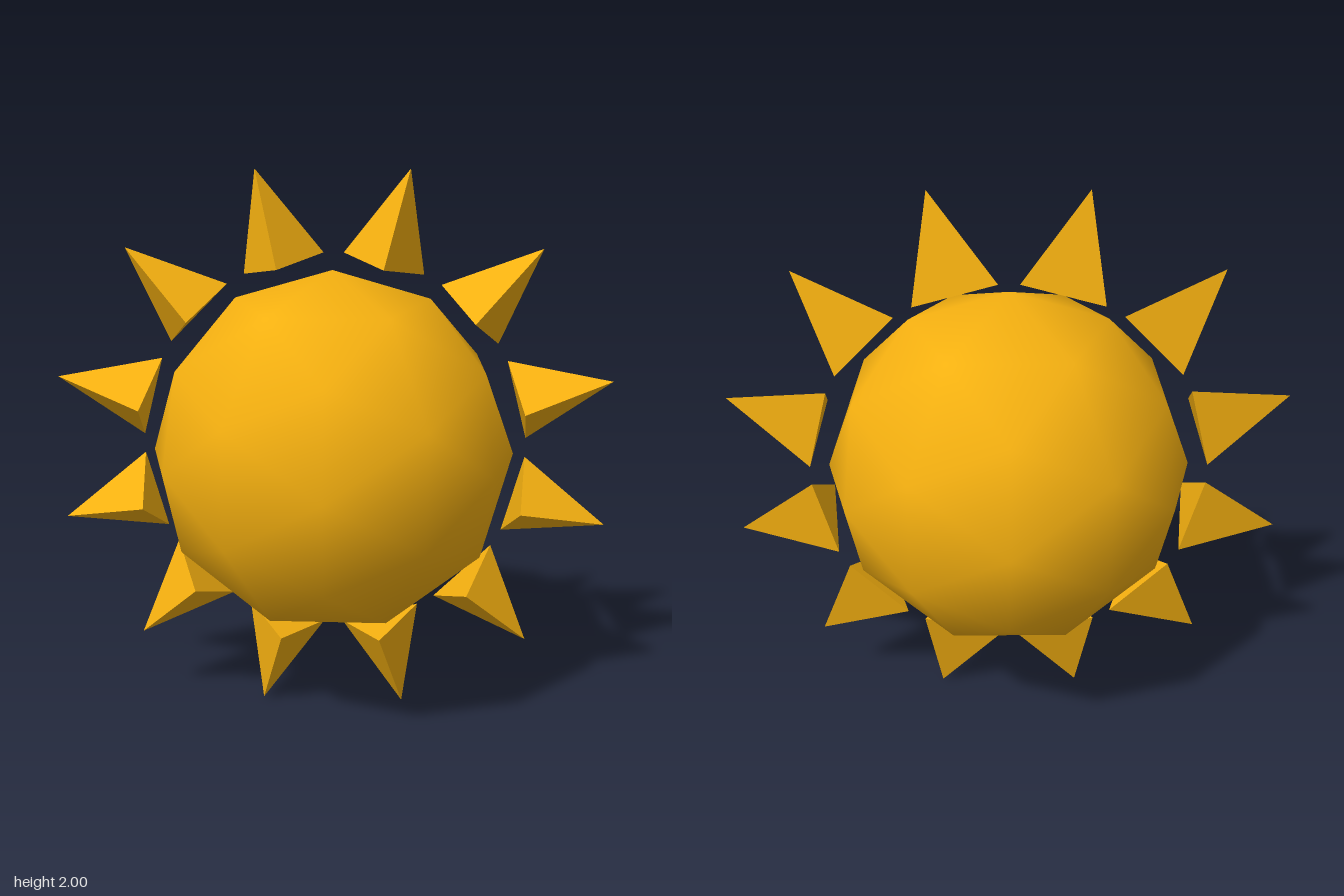
import * as THREE from 'three';

export function createModel() {
  const model = new THREE.Group();
  model.name = 'sun';
  const color = 0xf5b010;
  const centerY = 1;

  // Smooth-shaded low-poly ball
  const ball = new THREE.Mesh(
    new THREE.IcosahedronGeometry(0.656, 1),
    new THREE.MeshStandardMaterial({ color })
  );
  ball.name = 'ball';
  ball.position.y = centerY;
  model.add(ball);

  // Ring of three-sided pyramids pointing outward, one base corner facing front
  const rayCount = 12, baseRadius = 0.172, baseDistance = 0.695, tipDistance = 1.035;
  const height = tipDistance - baseDistance;
  const rayGeometry = new THREE.ConeGeometry(baseRadius, height, 3);
  rayGeometry.translate(0, baseDistance + height / 2, 0);
  const rayMaterial = new THREE.MeshStandardMaterial({ color, flatShading: true });

  const rays = new THREE.Group();
  rays.name = 'rays';
  rays.position.y = centerY;
  for (let i = 0; i < rayCount; i++) {
    const ray = new THREE.Mesh(rayGeometry, rayMaterial);
    ray.name = `ray${i + 1}`;
    ray.rotation.z = ((i + 0.5) / rayCount) * Math.PI * 2;
    rays.add(ray);
  }
  model.add(rays);

  return model;
}
